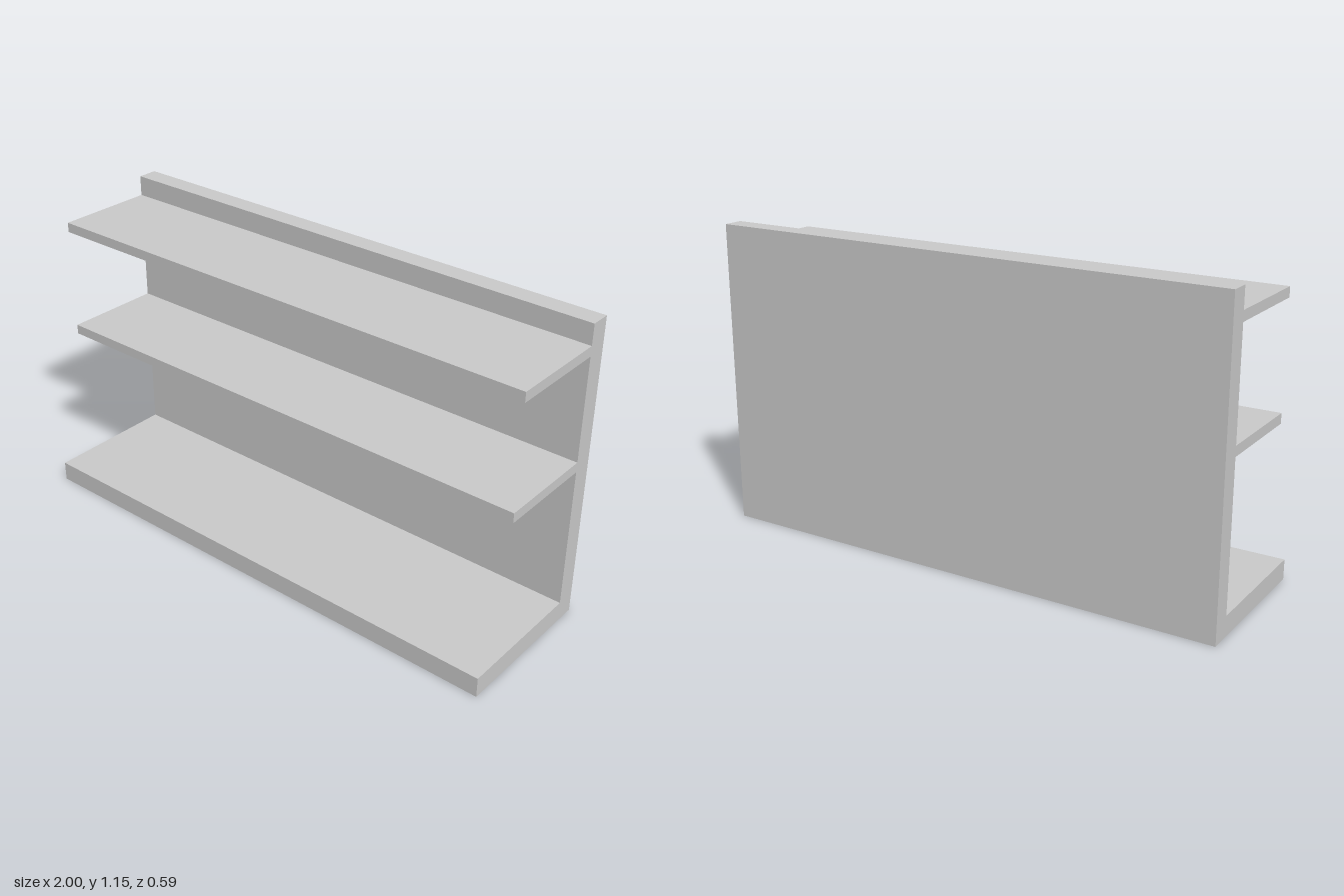
import * as THREE from 'three';

const WIDTH = 2;
const BACK = -0.293;       // rear face of the back panel
const PANEL_FRONT = -0.217; // front face of the back panel, where the boards meet it

export function createModel() {
  const group = new THREE.Group();
  group.name = 'wallShelf';
  const material = new THREE.MeshStandardMaterial({ color: 0xcccccc });

  // Full-width board spanning the given heights and depths
  function board(name, y0, y1, z0, z1) {
    const mesh = new THREE.Mesh(new THREE.BoxGeometry(WIDTH, y1 - y0, z1 - z0), material);
    mesh.position.set(0, (y0 + y1) / 2, (z0 + z1) / 2);
    mesh.name = name;
    group.add(mesh);
  }

  // Upright panel and thick base
  board('backPanel', 0, 1.154, BACK, PANEL_FRONT);
  board('base', 0, 0.076, PANEL_FRONT, 0.293);

  // Two thinner, shallower shelves
  for (const [name, y] of [['lowerShelf', 0.614], ['upperShelf', 1.04]]) {
    board(name, y, y + 0.037, PANEL_FRONT, 0.163);
  }

  return group;
}
